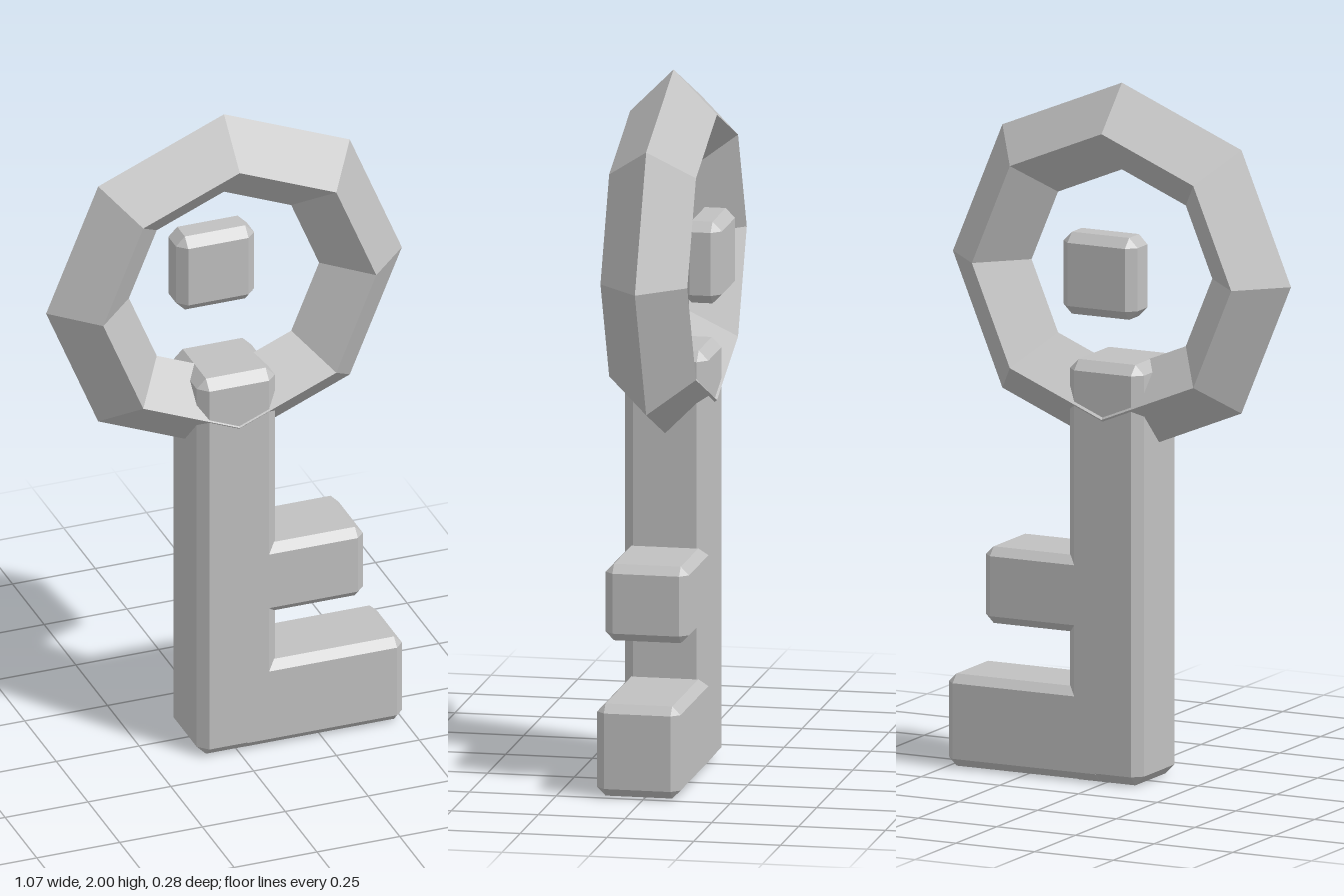
import * as THREE from 'three';
import { ConvexGeometry } from 'three/addons/geometries/ConvexGeometry.js';

const metal = new THREE.MeshStandardMaterial({ color: 0xc0c0c0 });
metal.name = 'grey metal';

// Box given by its limits, with every edge cut by a flat chamfer
function chamferedBox(name, [x0, x1], [y0, y1], [z0, z1], cut) {
  const half = [(x1 - x0) / 2, (y1 - y0) / 2, (z1 - z0) / 2];
  const points = [];
  for (const sx of [-1, 1]) for (const sy of [-1, 1]) for (const sz of [-1, 1]) {
    const sign = [sx, sy, sz];
    for (let face = 0; face < 3; face++) {
      const p = half.map((h, axis) => sign[axis] * (axis === face ? h : h - cut));
      points.push(new THREE.Vector3(...p));
    }
  }
  const mesh = new THREE.Mesh(new ConvexGeometry(points), metal);
  mesh.name = name;
  mesh.position.set((x0 + x1) / 2, (y0 + y1) / 2, (z0 + z1) / 2);
  return mesh;
}

export function createModel() {
  const key = new THREE.Group();
  key.name = 'key';

  // Eight-sided bow with a diamond cross-section
  const ringGeometry = new THREE.TorusGeometry(0.412, 0.125, 4, 8).toNonIndexed();
  ringGeometry.computeVertexNormals();
  const ring = new THREE.Mesh(ringGeometry, metal);
  ring.name = 'bowRing';
  ring.position.set(0, 1.463, 0.016);
  key.add(ring);

  // Shaft reaching through the ring, and the two teeth
  const depth = [-0.103, 0.137];
  key.add(chamferedBox('shaft', [-0.118, 0.118], [0, 1.212], depth, 0.028));
  key.add(chamferedBox('upperTooth', [0, 0.382], [0.425, 0.646], depth, 0.024));
  key.add(chamferedBox('lowerTooth', [0, 0.5], [0.002, 0.268], depth, 0.024));

  // Small block floating in the ring, set towards the back
  key.add(chamferedBox('centreBlock', [-0.118, 0.118], [1.35, 1.586], [-0.142, -0.028], 0.027));

  return key;
}
